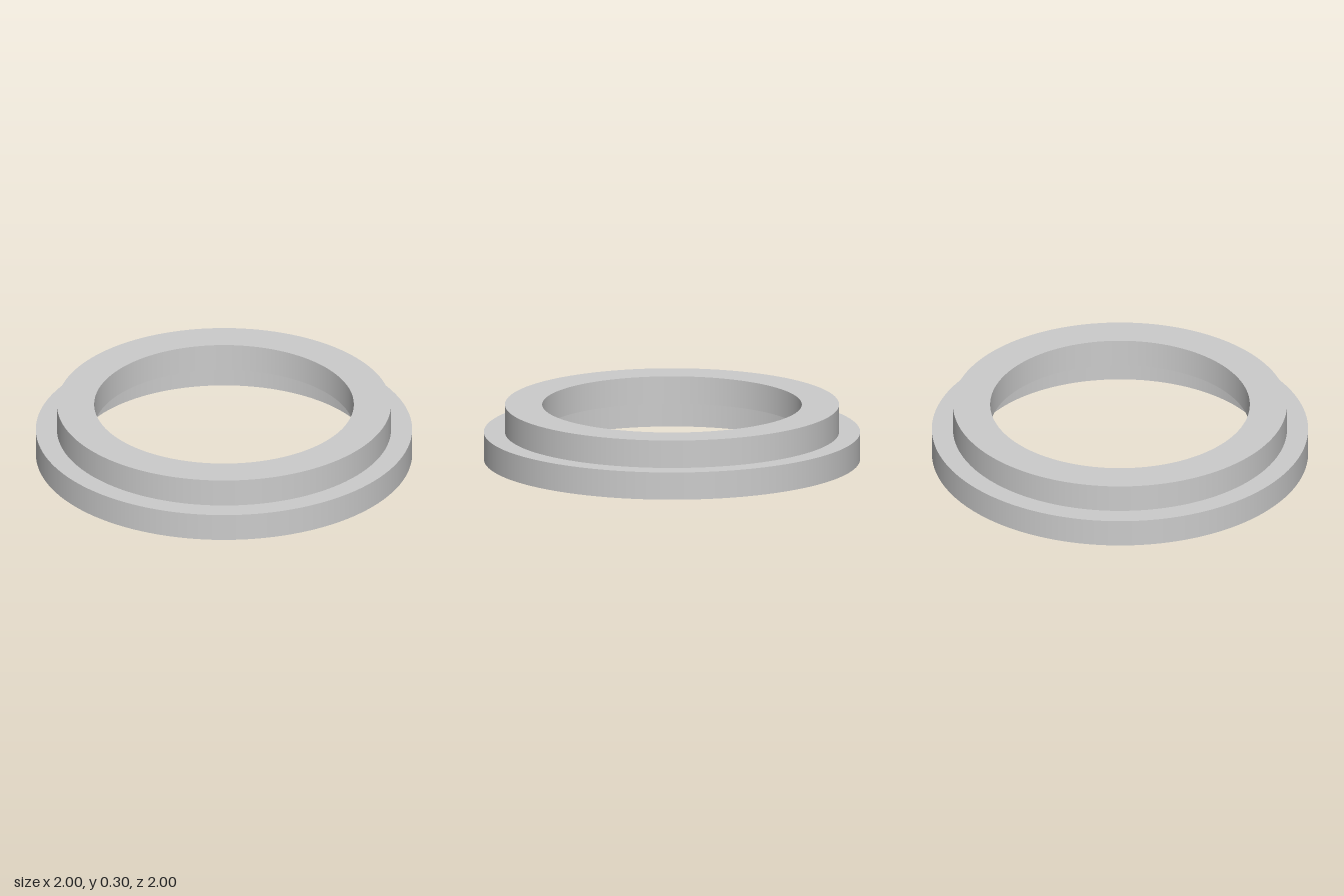
import * as THREE from 'three';
import { mergeGeometries } from 'three/addons/utils/BufferGeometryUtils.js';

const SEGMENTS = 128;

// Revolves a closed profile, one lathe per edge so corners stay sharp
function revolveSharp(profile) {
  const points = profile.map(([r, y]) => new THREE.Vector2(r, y));
  return mergeGeometries(points.map((p, i) =>
    new THREE.LatheGeometry([p, points[(i + 1) % points.length]], SEGMENTS)));
}

export function createModel() {
  const group = new THREE.Group();
  group.name = 'steppedRing';

  const top = 0.297, step = 0.148;
  const flangeOuter = 1, collarOuter = 0.888;
  const counterbore = 0.8, bore = 0.69;

  // Wide flange below, narrower collar above, with a counterbored underside
  const ring = new THREE.Mesh(
    revolveSharp([
      [counterbore, 0], [flangeOuter, 0],
      [flangeOuter, step], [collarOuter, step],
      [collarOuter, top], [bore, top],
      [bore, step], [counterbore, step],
    ]),
    new THREE.MeshStandardMaterial({ color: 0xcccccc })
  );
  ring.name = 'flangedCollar';
  group.add(ring);
  return group;
}
